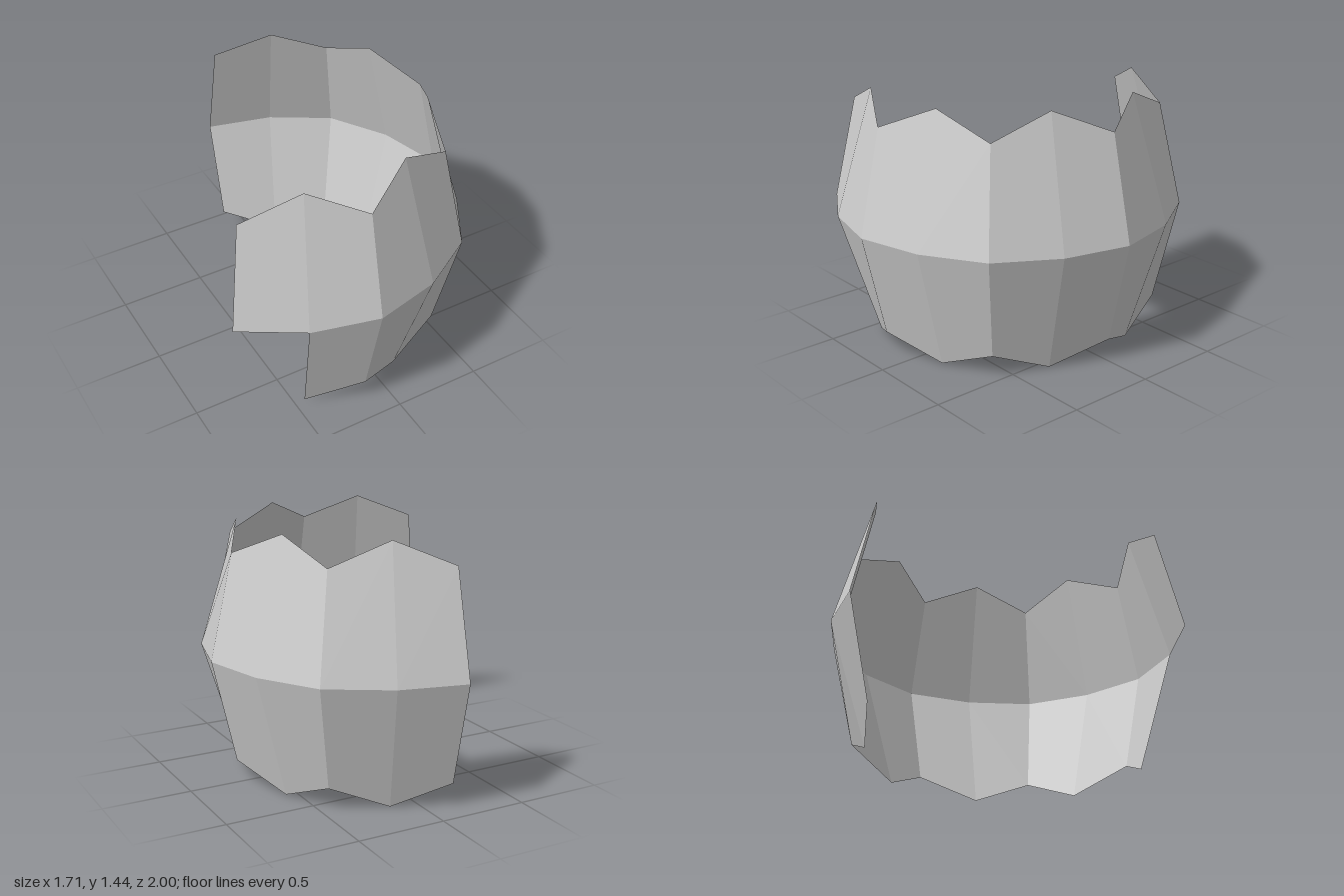
import * as THREE from 'three';

const CENTRE_X = -0.146; // axis of the curved wall
const MID_Y = 0.7185;
const STEP = Math.PI / 8;

// Columns alternate: even ones are short, odd ones reach out to the points of the zigzag rim.
function wallPoint(column, side) {
  const odd = Math.abs(column) % 2 === 1;
  const radius = side === 0 ? (odd ? 0.983 : 1) : (odd ? 0.765 : 0.866);
  const rise = odd ? 0.7185 : 0.587;
  const a = column * STEP;
  return new THREE.Vector3(
    CENTRE_X + radius * Math.sin(a),
    MID_Y + side * rise,
    radius * Math.cos(a)
  );
}

// One row of flat-shaded panels between two heights (-1 lower rim, 0 middle, 1 upper rim).
function panelBand(first, last, low, high) {
  const positions = [];
  const normals = [];
  for (let i = first; i < last; i++) {
    const a = wallPoint(i, low), b = wallPoint(i + 1, low);
    const c = wallPoint(i + 1, high), d = wallPoint(i, high);
    const normal = c.clone().sub(a).cross(d.clone().sub(b)).normalize();
    for (const p of [a, b, c, a, c, d]) {
      positions.push(p.x, p.y, p.z);
      normals.push(normal.x, normal.y, normal.z);
    }
  }
  const geometry = new THREE.BufferGeometry();
  geometry.setAttribute('position', new THREE.Float32BufferAttribute(positions, 3));
  geometry.setAttribute('normal', new THREE.Float32BufferAttribute(normals, 3));
  return geometry;
}

export function createModel() {
  const group = new THREE.Group();
  group.name = 'curvedPanelWall';
  const grey = new THREE.MeshStandardMaterial({ color: 0xcccccc, side: THREE.DoubleSide });
  grey.name = 'light grey';

  // Upper row runs one panel further than the lower row at the front
  const upper = new THREE.Mesh(panelBand(-2, 8, 0, 1), grey);
  upper.name = 'upperPanels';
  const lower = new THREE.Mesh(panelBand(-1, 8, -1, 0), grey);
  lower.name = 'lowerPanels';
  group.add(upper, lower);
  return group;
}
